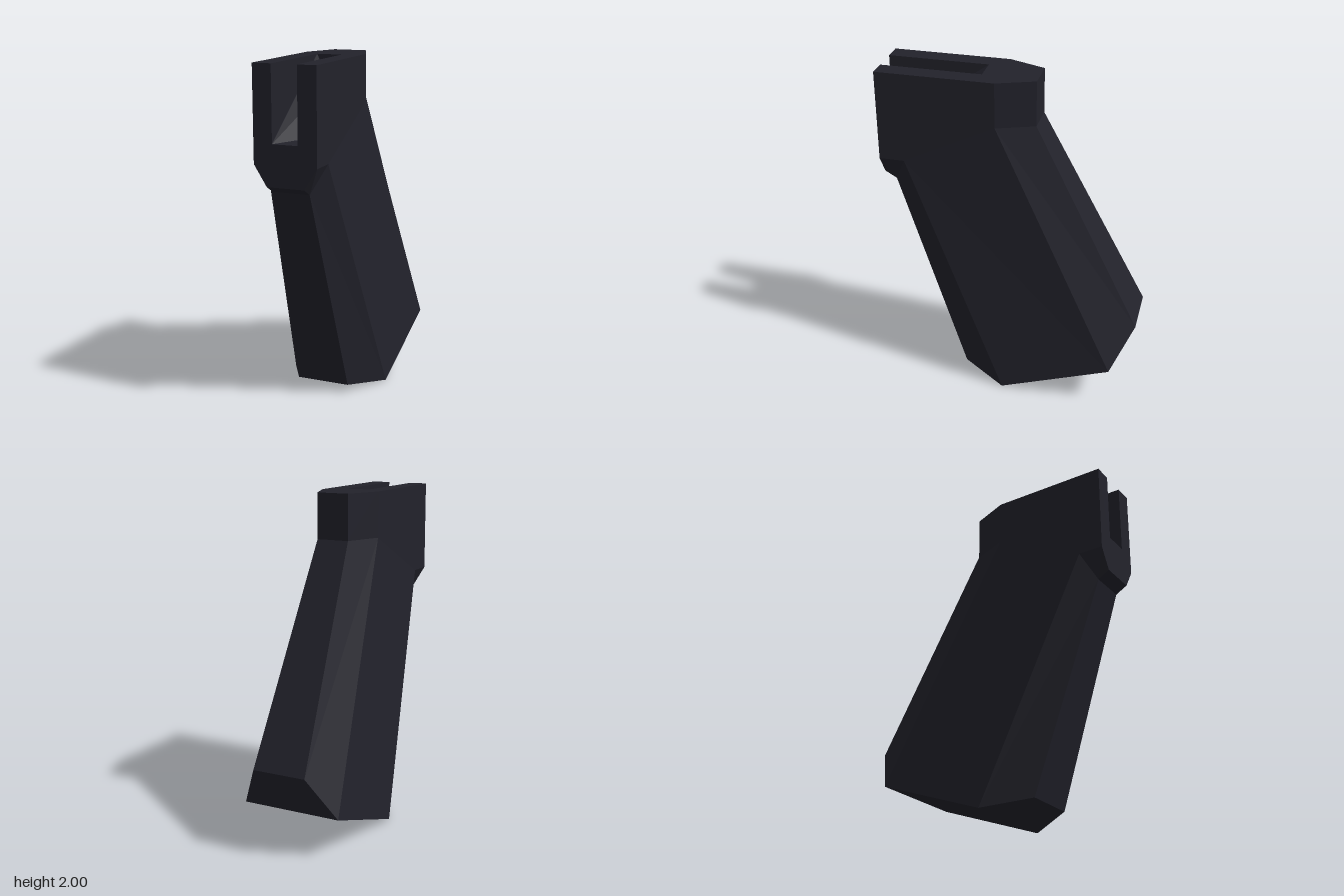
import * as THREE from 'three';

const mid = ([, y, z]) => [0, y, z];

// Builds flat panels on the +x half and mirrors them across x = 0.
function mirroredPanels(name, panels, material) {
  const positions = [];
  for (const panel of panels) {
    for (let i = 1; i < panel.length - 1; i++) {
      const tri = [panel[0], panel[i], panel[i + 1]];
      for (const p of tri) positions.push(...p);
      for (const [x, y, z] of tri.reverse()) positions.push(-x, y, z);
    }
  }
  const geometry = new THREE.BufferGeometry();
  geometry.setAttribute('position', new THREE.Float32BufferAttribute(positions, 3));
  geometry.computeVertexNormals();
  const mesh = new THREE.Mesh(geometry, material);
  mesh.name = name;
  return mesh;
}

export function createModel() {
  const group = new THREE.Group();
  group.name = 'pistolGrip';
  const black = new THREE.MeshStandardMaterial({ color: 0x22222b });
  black.name = 'charcoal';

  // Collar corners
  const topFront = [0.185, 2, 0.78], topSide = [0.185, 2, 0.08], topRear = [0.1, 2, -0.14];
  const noseSide = [0.185, 1.46, 0.78], noseTip = [0.11, 1.34, 0.78];
  const neckFront = [0.11, 1.3, 0.71], neckSide = [0.185, 1.46, 0.63];
  const neckBack = [0.185, 1.73, 0.08], neckRear = [0.1, 1.73, -0.14];

  // Foot corners of the handle
  const footFront = [0.16, 0.05, 0.29], footSide = [0.305, 0, 0.02];
  const footBack = [0.305, 0.24, -0.65], footRear = [0.165, 0.5, -0.78];

  // Slot corners
  const slotTop = [0.075, 2, 0.78], slotLow = [0.075, 1.575, 0.78], slotRear = [0.075, 2, 0.18];
  const grooveTop = [0, 1.84, 0.18], grooveLow = [0, 1.575, 0.61];

  group.add(mirroredPanels('collar', [
    [topFront, noseSide, neckSide, neckBack, topSide],
    [topSide, neckBack, neckRear, topRear],
    [topRear, neckRear, mid(neckRear), mid(topRear)],
    [noseSide, noseTip, neckFront, neckSide],
    [noseTip, mid(noseTip), mid(neckFront), neckFront],
    [slotLow, mid(slotLow), mid(noseTip), noseTip, noseSide, topFront, slotTop],
    [slotRear, slotTop, topFront, topSide, topRear, mid(topRear), mid(slotRear)],
  ], black));

  // Open slot with a sloping V-shaped floor
  group.add(mirroredPanels('slot', [
    [slotTop, slotRear, slotLow],
    [slotLow, slotRear, grooveTop, grooveLow],
    [slotLow, grooveLow, mid(slotLow)],
    [slotRear, mid(slotRear), grooveTop],
  ], black));

  // Raked, flared handle with bevelled edges
  group.add(mirroredPanels('handle', [
    [neckSide, footSide, footBack, neckBack],
    [neckFront, footFront, footSide, neckSide],
    [neckBack, footBack, footRear, neckRear],
    [neckFront, mid(neckFront), mid(footFront), footFront],
    [neckRear, footRear, mid(footRear), mid(neckRear)],
  ], black));

  // Faceted underside of the handle
  group.add(mirroredPanels('buttPlate', [
    [footFront, mid(footFront), mid(footSide), footSide],
    [footSide, mid(footSide), mid(footBack), footBack],
    [footBack, mid(footBack), mid(footRear), footRear],
  ], black));

  return group;
}
